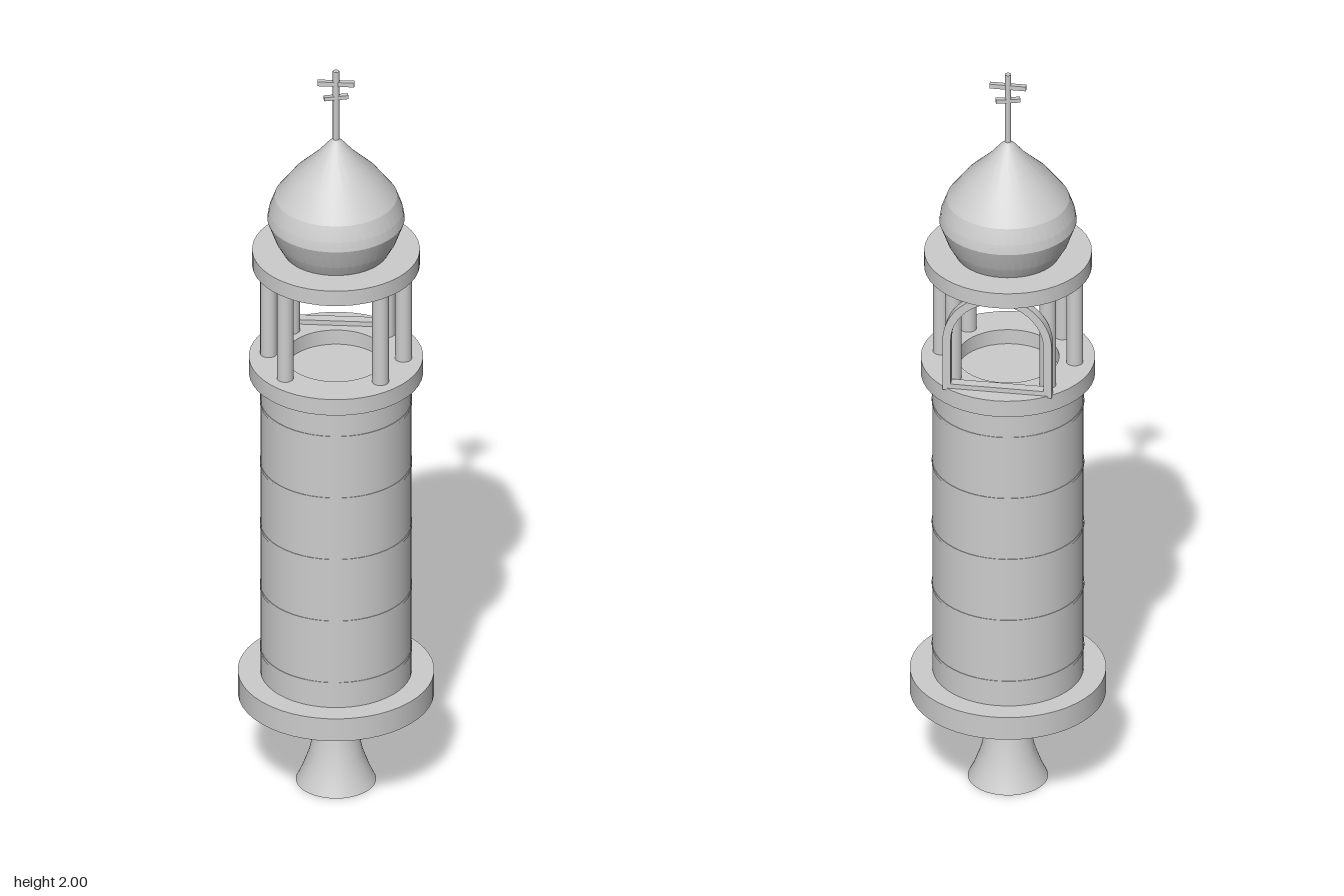
import * as THREE from 'three';
import { toCreasedNormals } from 'three/addons/utils/BufferGeometryUtils.js';

export function createModel() {
  const model = new THREE.Group();
  const stone = new THREE.MeshStandardMaterial({ color: 0xcccccc });
  stone.name = 'pale grey stone';

  const add = (name, geo, x = 0, y = 0, z = 0) => {
    const mesh = new THREE.Mesh(geo, stone);
    mesh.name = name;
    mesh.position.set(x, y, z);
    model.add(mesh);
    return mesh;
  };
  // Upright cylinder between two heights
  const drum = (name, r, y0, y1, x = 0, z = 0, sides = 48) =>
    add(name, new THREE.CylinderGeometry(r, r, y1 - y0, sides), x, (y0 + y1) / 2, z);
  const box = (name, w, h, d, x, y, z) => add(name, new THREE.BoxGeometry(w, h, d), x, y, z);
  // Turned shape with crisp edges between bands, profile runs upward on the outside
  const turned = (name, points, crease = 0.2) => add(name, toCreasedNormals(
    new THREE.LatheGeometry(points.map(([r, y]) => new THREE.Vector2(r, y)), 48), crease));

  // Base and shaft
  drum('basePlate', 0.24, 0.245, 0.308);
  drum('shaft', 0.185, 0.308, 1.155);
  for (let i = 0; i < 5; i++) {
    const y = 0.375 + i * 0.174;
    drum('shaftBand', 0.1865, y - 0.004, y + 0.004);
  }

  // Open gallery ring
  turned('galleryRing', [[0.125, 1.15], [0.213, 1.15], [0.213, 1.195], [0.125, 1.195], [0.125, 1.15]]);

  // Belfry columns, leaving front and back open
  for (const side of [-1, 1]) {
    for (const a of [-Math.PI / 4, 0, Math.PI / 4]) {
      drum('column', 0.0205, 1.19, 1.46, side * 0.165 * Math.cos(a), 0.165 * Math.sin(a), 20);
    }
  }

  // Arched frame at the back
  const arch = new THREE.Shape();
  arch.moveTo(-0.135, 1.19);
  arch.lineTo(-0.115, 1.19);
  arch.lineTo(-0.115, 1.33);
  arch.absarc(0, 1.33, 0.115, Math.PI, 0, true);
  arch.lineTo(0.115, 1.19);
  arch.lineTo(0.135, 1.19);
  arch.lineTo(0.135, 1.33);
  arch.absarc(0, 1.33, 0.135, 0, Math.PI, false);
  arch.closePath();
  add('backArch', toCreasedNormals(new THREE.ExtrudeGeometry(arch,
    { depth: 0.025, bevelEnabled: false, curveSegments: 20 }), 0.4), 0, 0, -0.172);
  box('archSill', 0.27, 0.015, 0.025, 0, 1.2, -0.1595);

  // Roof slab with its cross beam
  box('beam', 0.31, 0.022, 0.02, 0, 1.445, 0);
  drum('roofSlab', 0.205, 1.455, 1.497);

  // Onion dome
  turned('dome', [[0, 1.495], [0.128, 1.495], [0.148, 1.53], [0.168, 1.585], [0.164, 1.61],
    [0.15, 1.648], [0.103, 1.71], [0.047, 1.765], [0.018, 1.8], [0, 1.815]]);

  // Finial cross
  drum('finialPole', 0.008, 1.8, 2, 0, 0, 8);
  box('upperCrossbar', 0.09, 0.012, 0.012, 0, 1.965, 0);
  box('lowerCrossbar', 0.06, 0.01, 0.012, 0, 1.926, 0).rotation.y = 0.25;

  // Hanging bell with inner wall
  turned('bell', [[0, 0.18], [0.035, 0.175], [0.046, 0.13], [0.056, 0.08], [0.074, 0.03], [0.086, 0],
    [0.098, 0], [0.084, 0.03], [0.066, 0.08], [0.056, 0.13], [0.049, 0.172], [0.038, 0.19], [0, 0.194]], 0.5);
  drum('clapperRod', 0.004, 0.03, 0.18, 0, 0, 10);
  add('clapper', new THREE.SphereGeometry(0.015, 16, 12), 0, 0.025, 0);

  // Bell hanger
  box('bellYoke', 0.08, 0.01, 0.012, 0, 0.198, 0);
  box('hangerBar', 0.165, 0.01, 0.012, 0, 0.24, 0);
  for (const side of [-1, 1]) box('hangerPost', 0.01, 0.052, 0.01, side * 0.037, 0.215, 0);

  return model;
}
